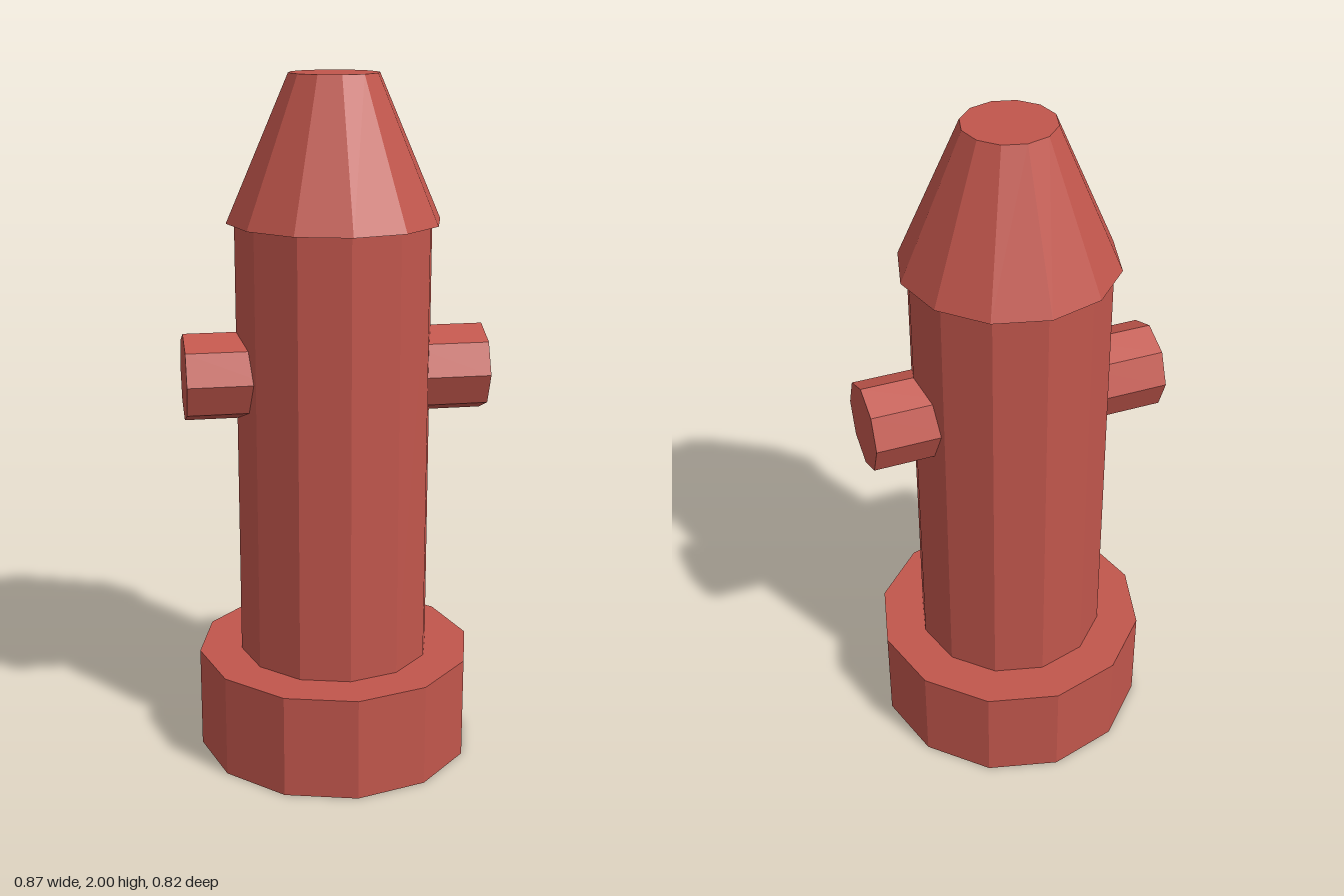
import * as THREE from 'three';

export function createModel() {
  const model = new THREE.Group();
  model.name = 'hydrant';
  const red = new THREE.MeshStandardMaterial({ color: 0xc1564c, flatShading: true });
  red.name = 'hydrant red';

  // Faceted upright section between two heights
  function section(name, bottomRadius, topRadius, y0, y1) {
    const geometry = new THREE.CylinderGeometry(topRadius, bottomRadius, y1 - y0, 12);
    const mesh = new THREE.Mesh(geometry, red);
    mesh.name = name;
    mesh.position.y = (y0 + y1) / 2;
    model.add(mesh);
  }

  section('base', 0.409, 0.409, 0, 0.305);
  section('barrel', 0.283, 0.283, 0.305, 1.592);
  section('cap', 0.306, 0.128, 1.592, 2);

  // Eight-sided side outlets, rooted inside the barrel
  for (const side of [1, -1]) {
    const geometry = new THREE.CylinderGeometry(0.127, 0.127, 0.235, 8);
    geometry.rotateZ(-side * Math.PI / 2);
    const outlet = new THREE.Mesh(geometry, red);
    outlet.name = side > 0 ? 'leftOutlet' : 'rightOutlet';
    outlet.position.set(side * 0.3175, 1.156, 0);
    model.add(outlet);
  }

  return model;
}
